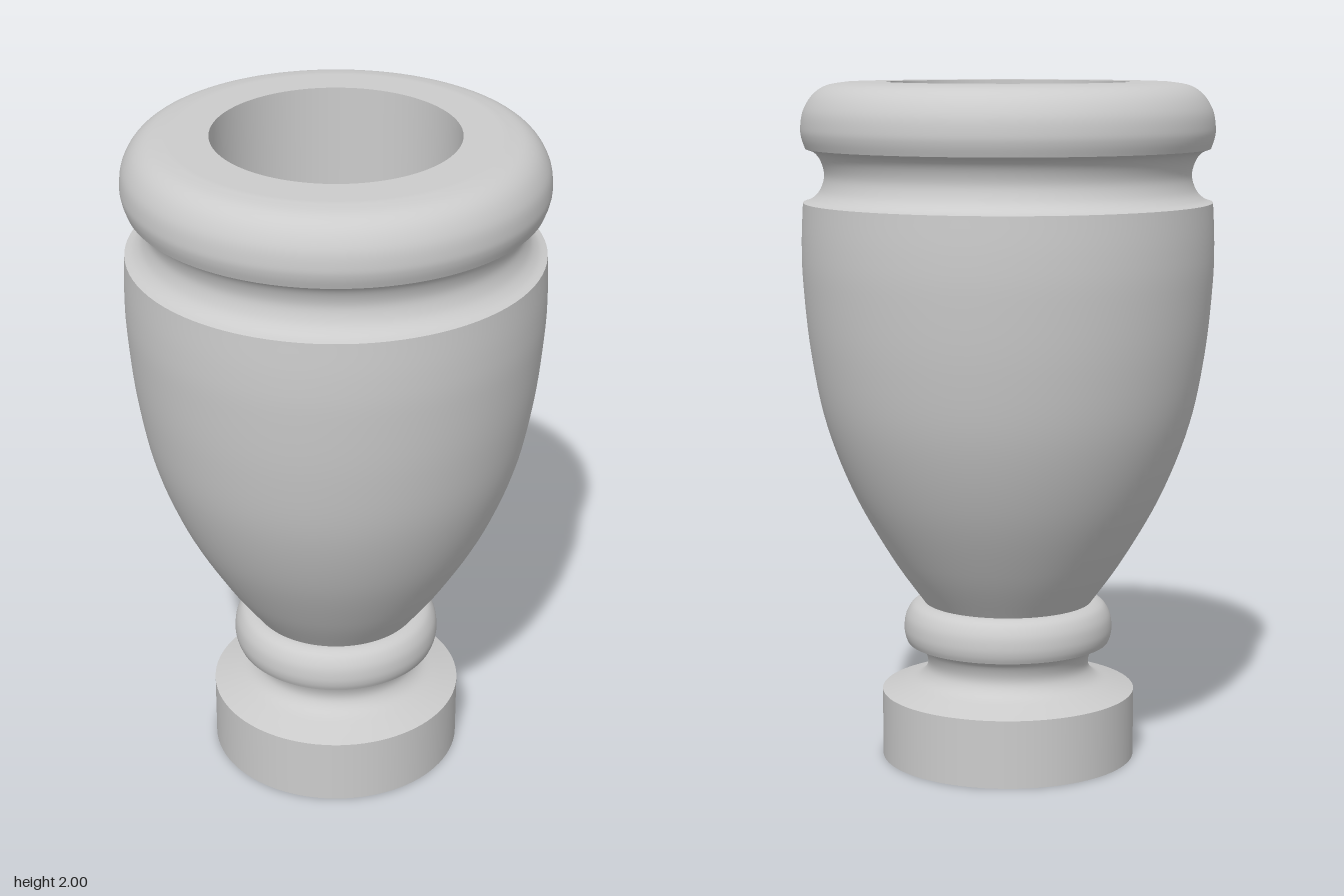
import * as THREE from 'three';

const material = new THREE.MeshStandardMaterial({ color: 0xcccccc });
const SEGMENTS = 96;

// Smooth list of profile points through a few [radius, height] pairs
function smooth(pairs, divisions) {
  const curve = new THREE.SplineCurve(pairs.map(([r, y]) => new THREE.Vector2(r, y)));
  return curve.getPoints(divisions);
}

// Revolve one stretch of the profile; separate stretches keep their shared edges sharp
function turned(name, points) {
  const profile = points.map((p) => (Array.isArray(p) ? new THREE.Vector2(...p) : p));
  const mesh = new THREE.Mesh(new THREE.LatheGeometry(profile, SEGMENTS), material);
  mesh.name = name;
  return mesh;
}

export function createModel() {
  const group = new THREE.Group();
  group.name = 'turnedCup';

  // Foot: plain disc with a concave neck above it
  group.add(
    turned('footUnderside', [[0, 0], [0.376, 0]]),
    turned('footSide', [[0.376, 0], [0.376, 0.2]]),
    turned('footNeck', smooth([[0.376, 0.2], [0.32, 0.217], [0.27, 0.235], [0.245, 0.26],
      [0.24, 0.288], [0.252, 0.322], [0.272, 0.34], [0.3, 0.347]], 28)),
  );

  // Collar ring below the bowl
  group.add(
    turned('collarRing', smooth([[0.3, 0.347], [0.307, 0.365], [0.31, 0.39], [0.305, 0.425],
      [0.288, 0.455], [0.265, 0.468], [0.245, 0.47]], 24)),
  );

  // Swelling bowl
  group.add(
    turned('bowl', smooth([[0.25, 0.47], [0.345, 0.605], [0.455, 0.8], [0.535, 1.01],
      [0.577, 1.22], [0.597, 1.42], [0.6, 1.54], [0.595, 1.655]], 40)),
  );

  // Concave groove under the rim
  group.add(
    turned('groove', smooth([[0.595, 1.655], [0.57, 1.665], [0.546, 1.69], [0.533, 1.73],
      [0.541, 1.77], [0.56, 1.798], [0.587, 1.81]], 28)),
  );

  // Rounded rim, ending in a flat top
  const rim = smooth([[0.587, 1.81], [0.597, 1.84], [0.6, 1.87], [0.592, 1.918],
    [0.565, 1.963], [0.525, 1.99], [0.47, 2]], 28);
  group.add(turned('rim', [...rim, [0.46, 2], [0.35, 2]]));

  // Straight-walled cavity with a flat floor
  const floor = 1.0;
  group.add(
    turned('cavityWall', [[0.35, 2], [0.35, floor]]),
    turned('cavityFloor', [[0.35, floor], [0, floor]]),
  );

  return group;
}
